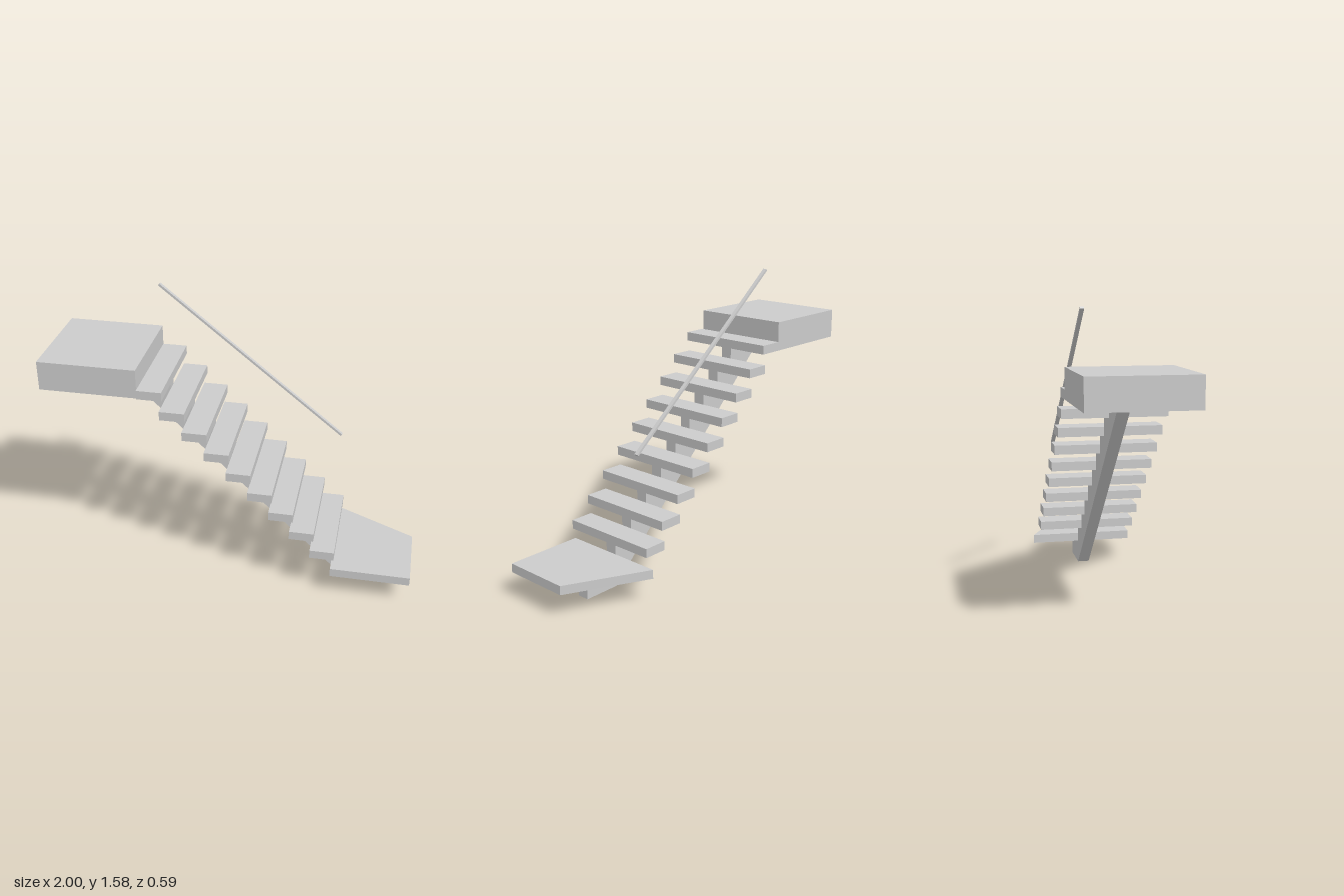
import * as THREE from 'three';

const material = new THREE.MeshStandardMaterial({ color: 0xcccccc, flatShading: true, side: THREE.DoubleSide });

function addMesh(group, name, geometry) {
  const mesh = new THREE.Mesh(geometry, material);
  mesh.name = name;
  group.add(mesh);
  return mesh;
}

// Box given by its lower and upper corners
function addBlock(group, name, [x0, y0, z0], [x1, y1, z1]) {
  const mesh = addMesh(group, name, new THREE.BoxGeometry(x1 - x0, y1 - y0, z1 - z0));
  mesh.position.set((x0 + x1) / 2, (y0 + y1) / 2, (z0 + z1) / 2);
  return mesh;
}

function extrude(points, depth) {
  const shape = new THREE.Shape(points.map(([x, y]) => new THREE.Vector2(x, y)));
  return new THREE.ExtrudeGeometry(shape, { depth, bevelEnabled: false });
}

export function createModel() {
  const group = new THREE.Group();
  group.name = 'staircase';

  const count = 9, run = 0.1157, rise = 0.1115, thick = 0.049;
  const firstX = -0.475, firstY = 1.135;
  const back = -0.265, front = 0.293;
  const bottomX = 0.567, bottomY = 0.133;

  // Upper landing
  addBlock(group, 'landing', [-1, 1.135, back], [firstX, 1.295, 0.285]);

  // Floating treads, and the saw-tooth top edge of the beam beneath them
  const beam = [[-0.61, firstY]];
  for (let i = 0; i < count; i++) {
    const x = firstX + i * run, y = firstY - i * rise;
    addBlock(group, `tread${i + 1}`, [x, y, back], [x + 0.133, y + thick, front]);
    const last = i === count - 1;
    const nextX = last ? bottomX : x + run;
    beam.push([nextX, y], [nextX, last ? bottomY : y - rise]);
  }

  // Central beam with its foot
  beam.push([0.77, bottomY], [0.77, 0], [bottomX, 0]);
  addMesh(group, 'centralBeam', extrude(beam.reverse(), 0.066)).position.z = -0.021;

  // Wide bottom step with a slanted back edge (drawn in x, -z)
  const step = addMesh(group, 'bottomStep',
    extrude([[bottomX, -front], [1, -front], [1, 0.083], [bottomX, 0.295]], thick));
  step.rotation.x = -Math.PI / 2;
  step.position.y = bottomY;

  // Slim square-edged handrail
  const a = new THREE.Vector2(-0.458, 1.578), b = new THREE.Vector2(0.554, 0.762);
  const rail = addMesh(group, 'handrail', new THREE.BoxGeometry(a.distanceTo(b), 0.012, 0.021));
  rail.position.set((a.x + b.x) / 2, (a.y + b.y) / 2, -0.175);
  rail.rotation.z = Math.atan2(b.y - a.y, b.x - a.x);

  return group;
}
